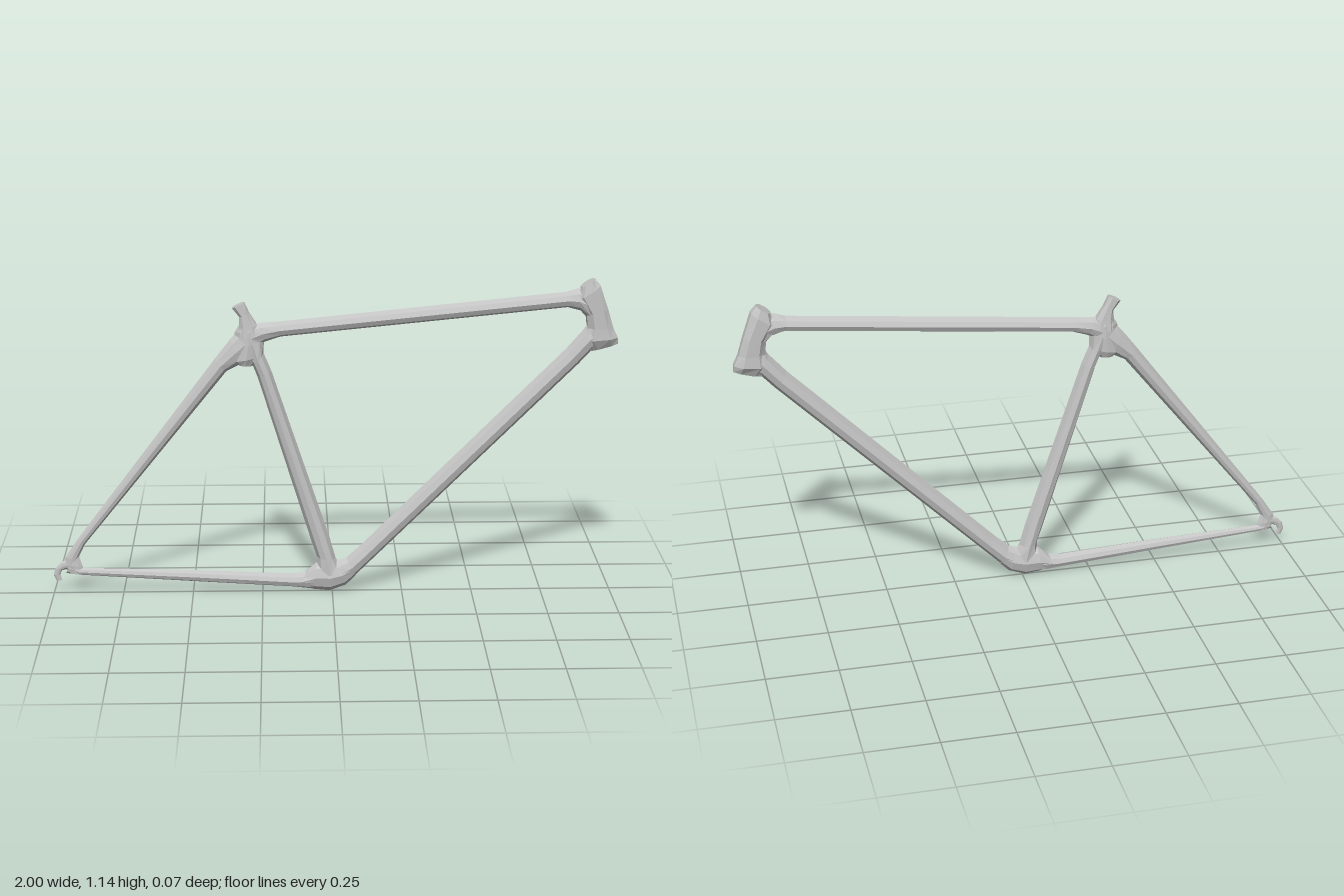
import * as THREE from 'three';

// Cross-section outlines: u runs across the tube in the frame's plane, v runs sideways (z)
const RIDGED = [[1, 0], [0.62, 0.74], [0, 1], [-0.62, 0.74], [-1, 0], [-0.62, -0.74], [0, -1], [0.62, -0.74]];
const FLAT = [[1, 0.4], [0.5, 1], [-0.5, 1], [-1, 0.45], [-1, -0.45], [-0.5, -1], [0.5, -1], [1, -0.4]];

// Loft through sections [ax, ay, bx, by, d]: two silhouette points and the half depth in z
function loft(sections, outline) {
  const mid = (s) => [(s[0] + s[2]) / 2, (s[1] + s[3]) / 2];
  const [p, q, s0] = [mid(sections[0]), mid(sections[1]), sections[0]];
  const turn = (s0[3] - s0[1]) * (q[0] - p[0]) - (s0[2] - s0[0]) * (q[1] - p[1]);
  const sign = turn < 0 ? -1 : 1;
  const n = outline.length, pos = [], index = [];
  for (const s of sections) {
    const [cx, cy] = mid(s);
    const hx = sign * (s[2] - s[0]) / 2, hy = sign * (s[3] - s[1]) / 2;
    for (const [u, v] of outline) pos.push(cx + hx * u, cy + hy * u, s[4] * v);
  }
  for (let i = 0; i < sections.length - 1; i++) {
    for (let j = 0; j < n; j++) {
      const a = i * n + j, b = i * n + (j + 1) % n;
      index.push(a, b, b + n, a, b + n, a + n);
    }
  }
  // End caps
  const e = (sections.length - 1) * n;
  for (let j = 1; j < n - 1; j++) index.push(0, j + 1, j, e, e + j, e + j + 1);
  const g = new THREE.BufferGeometry();
  g.setAttribute('position', new THREE.Float32BufferAttribute(pos, 3));
  g.setIndex(index);
  const flat = g.toNonIndexed();
  flat.computeVertexNormals();
  return flat;
}

export function createModel() {
  const group = new THREE.Group();
  const grey = new THREE.MeshStandardMaterial({ color: 0xc4c4c4, flatShading: true });
  grey.name = 'light grey';
  const add = (name, sections, outline = RIDGED) => {
    const mesh = new THREE.Mesh(loft(sections, outline), grey);
    mesh.name = name;
    group.add(mesh);
  };

  // Head tube with a front facet
  add('headTube', [
    [0.865, 1.115, 0.91, 1.143, 0.03],
    [0.85, 1.07, 0.93, 1.12, 0.037],
    [0.885, 1.02, 0.96, 1.035, 0.036],
    [0.89, 0.97, 0.98, 0.97, 0.035],
    [0.88, 0.925, 0.997, 0.935, 0.037],
    [0.905, 0.886, 1.0, 0.912, 0.018],
  ], FLAT);

  // Top tube, flared where it meets the head
  add('topTube', [
    [-0.27, 0.90, -0.29, 0.985, 0.03],
    [-0.235, 0.925, -0.25, 0.992, 0.031],
    [-0.18, 0.943, -0.185, 0.997, 0.032],
    [0.82, 1.042, 0.815, 1.097, 0.032],
    [0.865, 1.03, 0.845, 1.107, 0.035],
    [0.905, 0.985, 0.89, 1.12, 0.035],
  ]);

  // Down tube
  add('downTube', [
    [0.0, 0.11, 0.02, 0.01, 0.034],
    [0.05, 0.125, 0.085, 0.06, 0.034],
    [0.10, 0.17, 0.14, 0.115, 0.033],
    [0.82, 0.895, 0.865, 0.84, 0.033],
    [0.88, 0.965, 0.91, 0.89, 0.035],
    [0.90, 1.0, 0.945, 0.91, 0.033],
  ]);

  // Seat tube
  add('seatTube', [
    [-0.32, 0.91, -0.238, 0.935, 0.032],
    [-0.278, 0.84, -0.24, 0.885, 0.032],
    [-0.262, 0.80, -0.213, 0.82, 0.032],
    [-0.075, 0.19, -0.012, 0.21, 0.032],
    [-0.055, 0.13, 0.012, 0.125, 0.034],
    [-0.06, 0.06, 0.045, 0.075, 0.036],
  ]);

  // Seat cluster joining the tubes and the stay
  add('seatCluster', [
    [-0.325, 0.985, -0.265, 0.985, 0.024],
    [-0.34, 0.96, -0.24, 0.965, 0.03],
    [-0.345, 0.91, -0.24, 0.92, 0.033],
    [-0.35, 0.855, -0.25, 0.875, 0.033],
    [-0.33, 0.842, -0.275, 0.84, 0.022],
  ]);

  // Seat post stub, widening into the cluster
  add('seatPostStub', [
    [-0.348, 1.047, -0.306, 1.066, 0.02],
    [-0.323, 1.015, -0.29, 1.03, 0.022],
    [-0.325, 0.975, -0.262, 0.985, 0.026],
    [-0.33, 0.94, -0.25, 0.95, 0.03],
  ], FLAT);

  // Bottom bracket shell
  add('bottomBracket', [
    [-0.12, 0.018, -0.105, 0.065, 0.03],
    [-0.065, 0.006, -0.055, 0.11, 0.036],
    [-0.01, 0.0, 0.0, 0.115, 0.037],
    [0.05, 0.022, 0.025, 0.115, 0.036],
    [0.085, 0.058, 0.055, 0.12, 0.032],
  ]);

  // Seat stay, tapering to the rear dropout
  add('seatStay', [
    [-0.315, 0.98, -0.27, 0.88, 0.03],
    [-0.355, 0.935, -0.32, 0.845, 0.03],
    [-0.41, 0.865, -0.37, 0.82, 0.026],
    [-0.912, 0.20, -0.885, 0.183, 0.012],
    [-0.955, 0.135, -0.91, 0.13, 0.012],
    [-0.96, 0.105, -0.915, 0.1, 0.011],
  ]);

  // Chain stay
  add('chainStay', [
    [-0.955, 0.075, -0.935, 0.115, 0.01],
    [-0.91, 0.068, -0.905, 0.094, 0.012],
    [-0.5, 0.04, -0.5, 0.082, 0.02],
    [-0.14, 0.016, -0.14, 0.066, 0.028],
    [-0.09, 0.01, -0.085, 0.074, 0.032],
    [-0.03, 0.006, -0.045, 0.11, 0.035],
  ]);

  // Dropout plate and the hook below it
  add('dropout', [
    [-0.955, 0.135, -0.91, 0.145, 0.008],
    [-0.965, 0.11, -0.895, 0.1, 0.012],
    [-0.945, 0.075, -0.89, 0.07, 0.01],
  ]);
  add('dropoutHook', [
    [-0.935, 0.085, -0.945, 0.128, 0.009],
    [-0.955, 0.09, -0.97, 0.118, 0.007],
    [-0.97, 0.085, -0.993, 0.095, 0.006],
    [-0.976, 0.07, -1.0, 0.068, 0.005],
    [-0.97, 0.048, -0.99, 0.046, 0.004],
  ]);

  return group;
}
